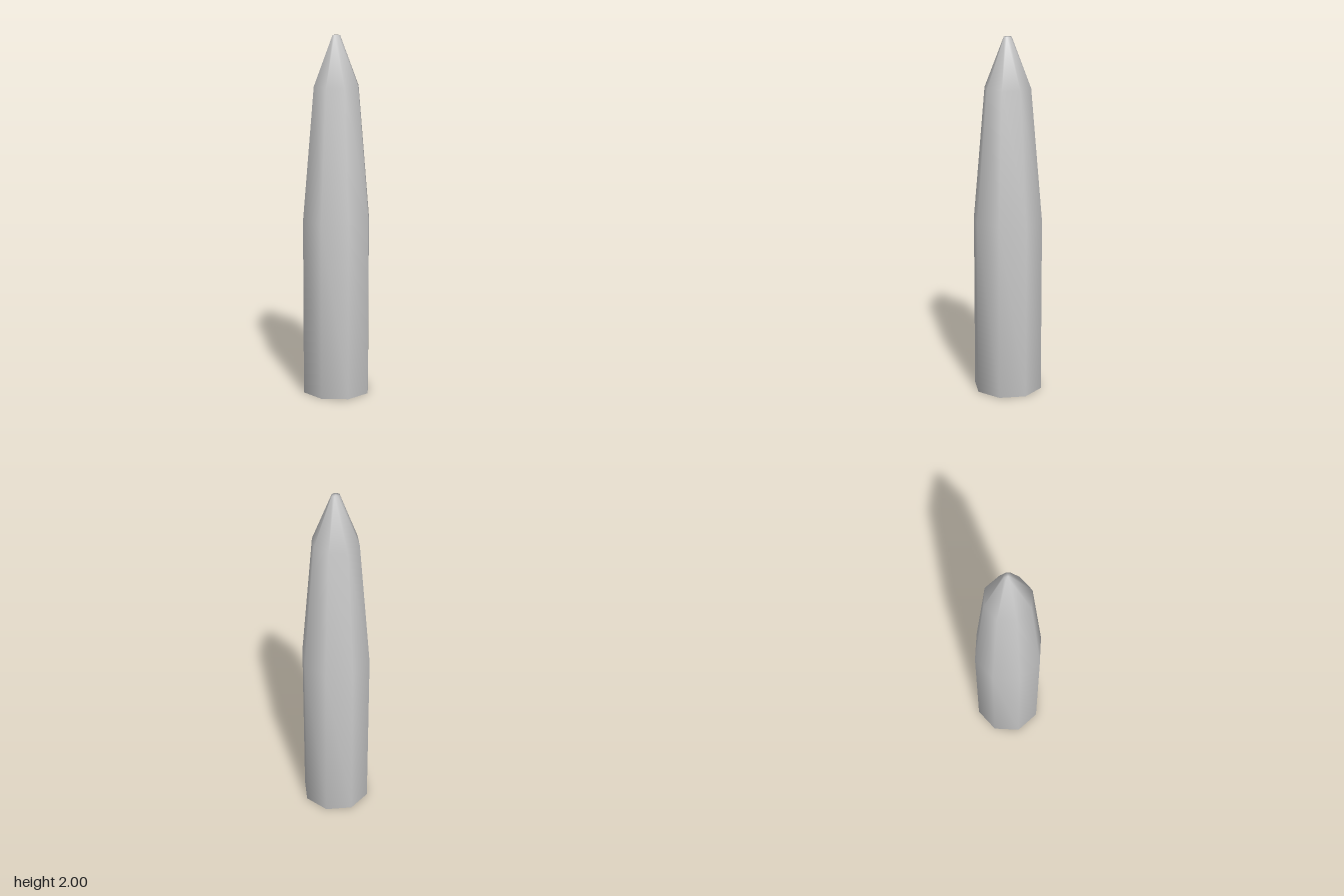
import * as THREE from 'three';
import { mergeVertices } from 'three/addons/utils/BufferGeometryUtils.js';

// Eight-sided lathe whose vertices are shared, so shading runs smoothly over sides and caps
function smoothLathe(profile, sides) {
  let geometry = new THREE.LatheGeometry(profile.map(([r, y]) => new THREE.Vector2(r, y)), sides);
  geometry.deleteAttribute('normal');
  geometry.deleteAttribute('uv');
  geometry = mergeVertices(geometry, 1e-4);

  // Drop the collapsed triangles at the two poles
  const index = geometry.index.array;
  const kept = [];
  for (let i = 0; i < index.length; i += 3) {
    const [a, b, c] = [index[i], index[i + 1], index[i + 2]];
    if (a !== b && b !== c && c !== a) kept.push(a, b, c);
  }
  geometry.setIndex(kept);
  geometry.computeVertexNormals();
  return geometry;
}

export function createModel() {
  const group = new THREE.Group();
  group.name = 'bullet';

  // Radius and height: flat base, straight case, tapering shoulder, blunt tip
  const profile = [
    [0, 0],
    [0.195, 0],
    [0.195, 0.99],
    [0.13, 1.725],
    [0.022, 2],
    [0, 2],
  ];
  const body = new THREE.Mesh(
    smoothLathe(profile, 8),
    new THREE.MeshStandardMaterial({ color: 0xcccccc })
  );
  body.name = 'body';
  group.add(body);
  return group;
}
